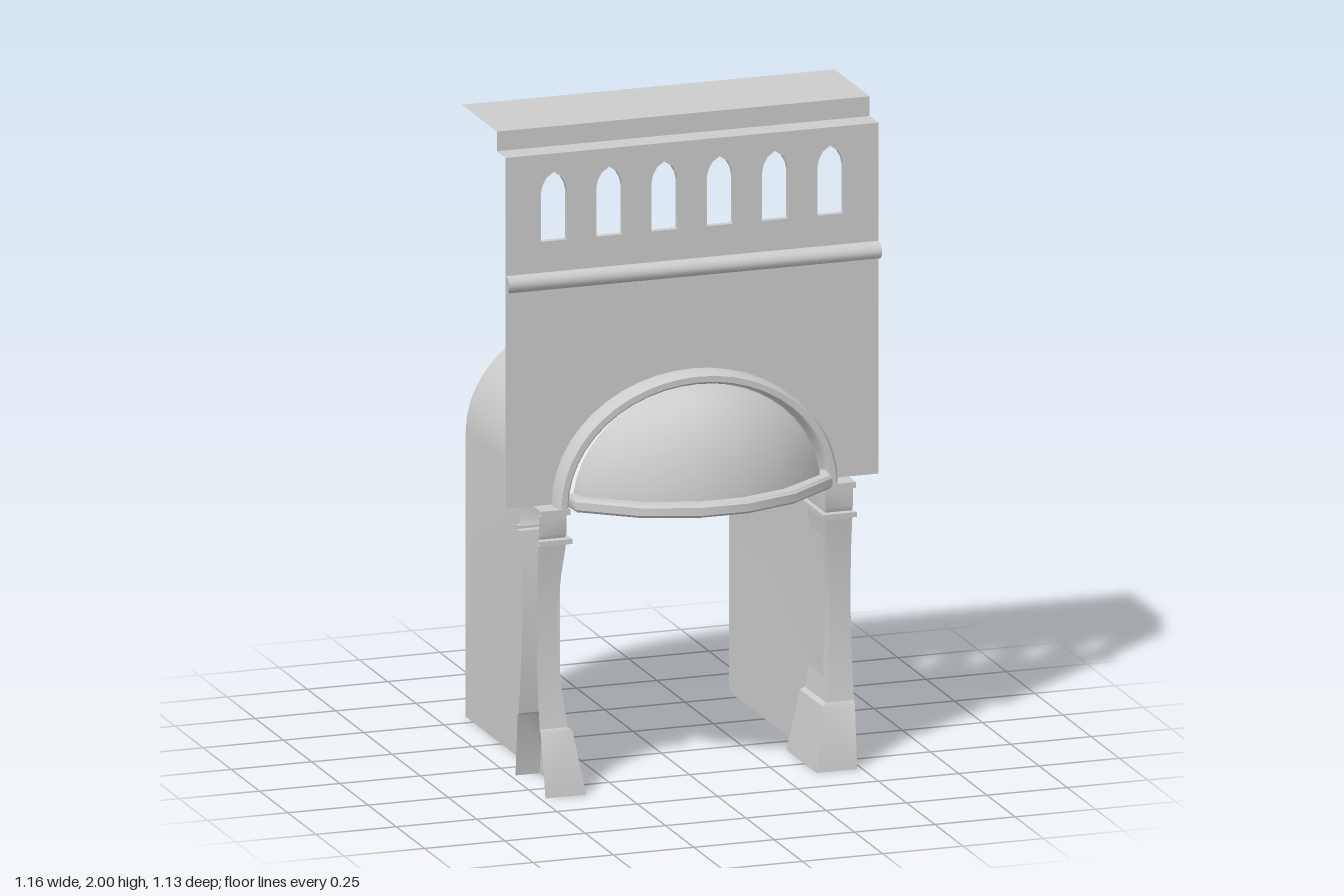
import * as THREE from 'three';
import { toCreasedNormals } from 'three/addons/utils/BufferGeometryUtils.js';

const material = new THREE.MeshStandardMaterial({ color: 0xcccccc, side: THREE.DoubleSide });

function mesh(name, geometry) {
  const m = new THREE.Mesh(geometry, material);
  m.name = name;
  return m;
}

// Surface through rows of [x, y, z] points
function loft(rows, crease = 0.7) {
  const n = rows[0].length, index = [];
  for (let r = 0; r < rows.length - 1; r++) {
    for (let c = 0; c < n - 1; c++) {
      const a = r * n + c, b = a + 1, d = a + n, e = d + 1;
      index.push(a, b, e, a, e, d);
    }
  }
  const g = new THREE.BufferGeometry();
  g.setAttribute('position', new THREE.Float32BufferAttribute(rows.flat(2), 3));
  g.setIndex(index);
  return toCreasedNormals(g, crease);
}

// Profile of [z, y] points drawn out along x
const alongX = (profile, half) =>
  loft(profile.map(([z, y]) => [[half, y, z], [-half, y, z]]));

// Half ellipse from +x to -x, springing at the given height
function arch(a, b, spring, steps = 24) {
  return Array.from({ length: steps + 1 }, (_, i) => {
    const t = (Math.PI * i) / steps;
    return [a * Math.cos(t), spring + b * Math.sin(t)];
  });
}

const toShape = pts => new THREE.Shape(pts.map(p => new THREE.Vector2(p[0], p[1])));

const WALL_Z = 0.272, HALF = 0.58, SPRING = 0.87;

// Pointed window outline centred on cx
function windowOutline(cx) {
  const half = [[0.041, 1.675], [0.041, 1.82], [0.036, 1.845], [0.023, 1.868], [0, 1.884]];
  const left = half.slice(0, -1).reverse().map(([x, y]) => [-x, y]);
  return [...half, ...left].map(([x, y]) => [cx + x, y]);
}

function buildWall() {
  const group = new THREE.Group();
  group.name = 'facade';

  // Lower wall with an arched opening
  const lower = toShape([
    [-HALF, SPRING], [-HALF, 1.55], [HALF, 1.55], [HALF, SPRING],
    ...arch(0.415, 0.345, SPRING),
  ]);
  group.add(mesh('lowerWall', new THREE.ShapeGeometry(lower).translate(0, 0, WALL_Z)));

  // Upper wall with six pointed windows and their reveals
  const upper = toShape([[-HALF, 1.55], [HALF, 1.55], [HALF, 1.94], [-HALF, 1.94]]);
  for (let i = 0; i < 6; i++) {
    const outline = windowOutline((i - 2.5) * 0.172);
    upper.holes.push(new THREE.Path(outline.map(p => new THREE.Vector2(...p))));
    const ring = [...outline, outline[0]];
    group.add(mesh('windowReveal', loft([0.276, 0.256].map(z => ring.map(([x, y]) => [x, y, z])))));
  }
  group.add(mesh('upperWall', new THREE.ShapeGeometry(upper).translate(0, 0, WALL_Z)));

  // Rounded string course and stepped roof edge
  const roll = [[WALL_Z, 1.53], [0.292, 1.532], [0.303, 1.543], [0.306, 1.556], [0.3, 1.57], [0.288, 1.578], [WALL_Z, 1.58]];
  group.add(mesh('stringCourse', alongX(roll, HALF)));
  group.add(mesh('roof', alongX([[WALL_Z, 1.94], [0.195, 1.94], [0.195, 2], [-0.115, 2]], HALF)));
  return group;
}

// Barrel vault with straight side walls
function buildVault() {
  const section = [[0.41, 0], ...arch(0.41, 0.34, SPRING), [-0.41, 0]];
  return mesh('vault', loft([WALL_Z, -0.565].map(z => section.map(([x, y]) => [x, y, z]))));
}

// Moulding around the arch: profile of [outward offset, z]
function buildArchTrim() {
  const profile = [[0, 0.265], [0, 0.322], [0.008, 0.334], [0.026, 0.334], [0.035, 0.32], [0.035, 0.265]];
  return mesh('archTrim', loft(profile.map(([r, z]) =>
    arch(0.402 + r, 0.34 + r, SPRING).map(([x, y]) => [x, y, z]))));
}

// Half dome over the entrance, with a rim following its faceted plan
function buildCanopy() {
  const group = new THREE.Group();
  group.name = 'canopy';
  const mirror = half => [...half, ...half.slice().reverse().map(([x, z]) => [-x, z])];
  const inner = mirror([[0.385, 0.31], [0.368, 0.36], [0.218, 0.47], [0.072, 0.518]]);
  const outer = mirror([[0.402, 0.31], [0.4, 0.38], [0.24, 0.506], [0.075, 0.562]]);

  const rows = [];
  for (let i = 0; i <= 12; i++) {
    const t = (i / 12) * Math.PI / 2, s = Math.cos(t);
    rows.push(inner.map(([x, z]) => [x * s, SPRING + 0.338 * Math.sin(t), 0.315 + (z - 0.315) * s]));
  }
  group.add(mesh('canopyDome', loft(rows, 1)));

  // Rim profile: [blend from inner to outer plan, y]
  const rim = [[0, 0.87], [0.8, 0.87], [1, 0.878], [1, 0.902], [0.8, 0.91], [0, 0.91]];
  group.add(mesh('canopyRim', loft(rim.map(([k, y]) => inner.map(([x, z], i) =>
    [x + (outer[i][0] - x) * k, y, z + (outer[i][1] - z) * k])))));
  return group;
}

// Pier wrapped round the tunnel wall: front, inner and rear faces, open outside
function buildColumn(side) {
  const group = new THREE.Group();
  group.name = side > 0 ? 'leftColumn' : 'rightColumn';
  const midZ = 0.222;
  // Levels of [y, inner x, half depth, outer x]
  const parts = {
    columnBase: [[0, 0.358, 0.133, 0.485], [0.19, 0.39, 0.102, 0.489], [0.2, 0.402, 0.094, 0.489]],
    columnShaft: [[0.2, 0.402, 0.094, 0.489], [0.27, 0.41, 0.082, 0.489], [0.36, 0.42, 0.072, 0.489],
      [0.46, 0.425, 0.067, 0.488], [0.56, 0.423, 0.066, 0.488], [0.66, 0.414, 0.071, 0.488], [0.76, 0.402, 0.082, 0.488]],
    capitalLowerSlab: [[0.76, 0.41, 0.08, 0.49], [0.76, 0.39, 0.104, 0.494], [0.775, 0.39, 0.104, 0.494], [0.775, 0.41, 0.08, 0.49]],
    capitalBlock: [[0.775, 0.405, 0.08, 0.488], [0.79, 0.403, 0.086, 0.488], [0.85, 0.403, 0.086, 0.488]],
    capitalUpperSlab: [[0.85, 0.41, 0.08, 0.488], [0.85, 0.398, 0.108, 0.49], [0.868, 0.398, 0.108, 0.49], [0.868, 0.487, 0, 0.49]],
  };
  for (const [name, levels] of Object.entries(parts)) {
    group.add(mesh(name, loft(levels.map(([y, inX, d, outX]) => [
      [side * outX, y, midZ + d], [side * inX, y, midZ + d],
      [side * inX, y, midZ - d], [side * outX, y, midZ - d],
    ]))));
  }
  return group;
}

export function createModel() {
  const model = new THREE.Group();
  model.name = 'archedPorch';
  model.add(buildWall(), buildVault(), buildArchTrim(), buildCanopy(), buildColumn(1), buildColumn(-1));
  return model;
}
